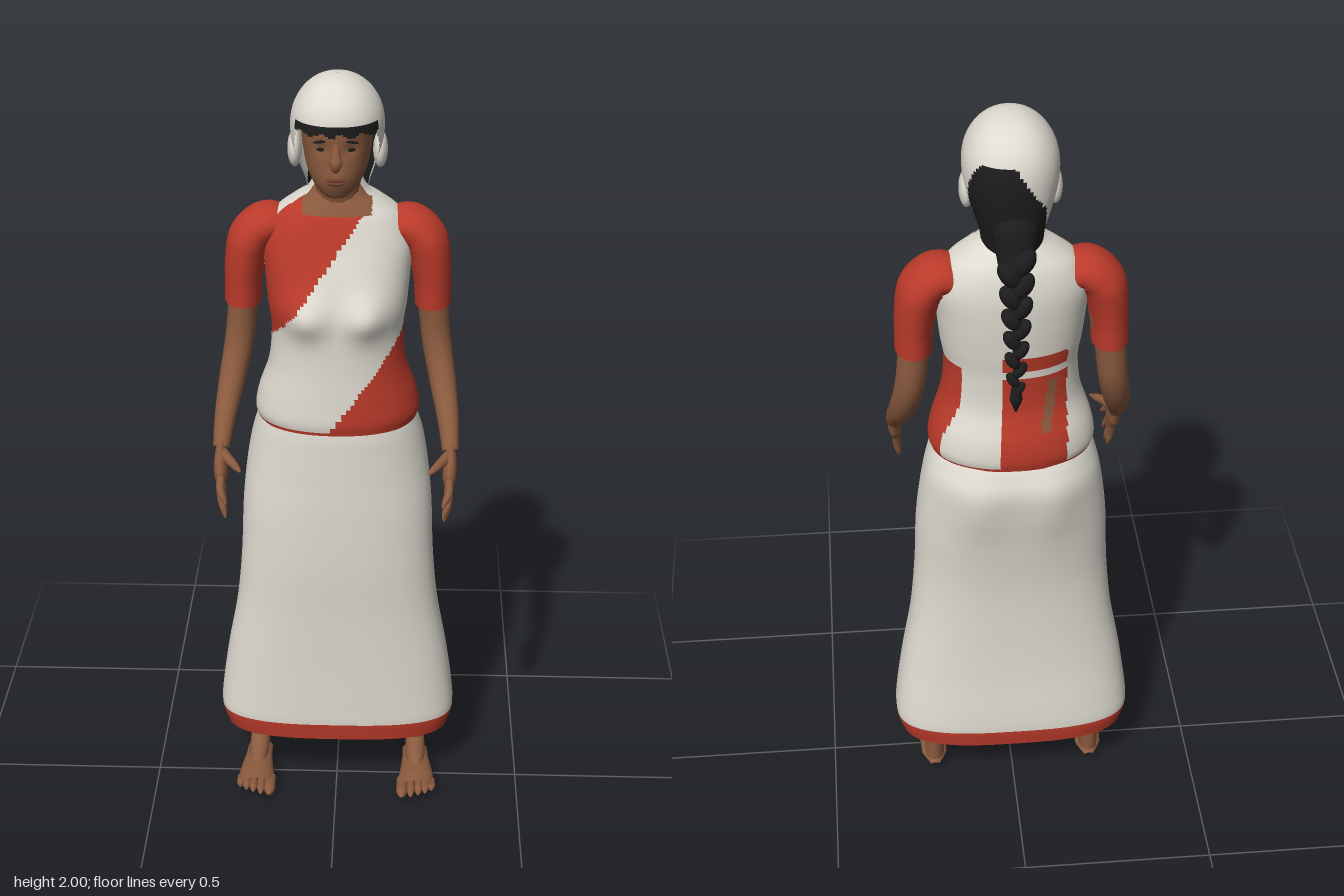
import * as THREE from 'three';
import { mergeVertices } from 'three/addons/utils/BufferGeometryUtils.js';

const mat = (name, color, side = THREE.FrontSide) => {
  const m = new THREE.MeshStandardMaterial({ color, side });
  m.name = name;
  return m;
};

export function createModel() {
  const model = new THREE.Group();
  const cloth = mat('cloth white', 0xdedad0, THREE.DoubleSide);
  const red = mat('cloth red', 0xba3a2a, THREE.DoubleSide);
  const hair = mat('hair black', 0x1c1c1c, THREE.DoubleSide);
  const skin = mat('skin brown', 0x8a5a3e);
  const lip = mat('lip brown', 0x6e4030);
  const bump = (d, w) => Math.exp(-(d * d) / (w * w));

  const add = (name, geo, material, parent = model) => {
    const mesh = new THREE.Mesh(geo, material);
    mesh.name = name;
    parent.add(mesh);
    return mesh;
  };

  // Surface through horizontal sections [y, halfWidth, zFront, zBack, squareness], lowest first.
  // paint(x, y, z) picks the material of each small face, or null to leave it open.
  function loft(name, sections, cols, rows, paint, warp) {
    const a = new THREE.CatmullRomCurve3(sections.map(s => new THREE.Vector3(s[0], s[1], s[2])), false, 'catmullrom');
    const b = new THREE.CatmullRomCurve3(sections.map(s => new THREE.Vector3(s[0], s[3], s[4] ?? 2.2)), false, 'catmullrom');
    const pos = [];
    const p = new THREE.Vector3();
    const pow = (v, n) => Math.sign(v) * Math.abs(v) ** (2 / n);
    for (let j = 0; j <= rows; j++) {
      const A = a.getPoint(j / rows), B = b.getPoint(j / rows);
      for (let i = 0; i < cols; i++) {
        const t = i / cols * Math.PI * 2;
        p.set(A.y * pow(Math.sin(t), B.z), A.x, (A.z + B.y) / 2 + (A.z - B.y) / 2 * pow(Math.cos(t), B.z));
        if (warp) warp(p);
        pos.push(p.x, p.y, p.z);
      }
    }
    const faces = new Map();
    for (let j = 0; j < rows; j++) for (let i = 0; i < cols; i++) {
      const k = (i + 1) % cols, q = [j * cols + i, j * cols + k, (j + 1) * cols + k, (j + 1) * cols + i];
      const mid = [0, 1, 2].map(c => q.reduce((sum, v) => sum + pos[v * 3 + c], 0) / 4);
      const m = paint(...mid);
      if (!m) continue;
      if (!faces.has(m)) faces.set(m, []);
      faces.get(m).push(q[0], q[1], q[2], q[0], q[2], q[3]);
    }
    const geo = new THREE.BufferGeometry();
    geo.setAttribute('position', new THREE.Float32BufferAttribute(pos, 3));
    const index = [], mats = [];
    for (const [m, list] of faces) {
      geo.addGroup(index.length, list.length, mats.length);
      for (const v of list) index.push(v);
      mats.push(m);
    }
    geo.setIndex(index);
    geo.computeVertexNormals();
    return add(name, geo, mats);
  }

  // Tube along points with changing radius; squash flattens it along the axes.
  function limb(name, pts, radii, material, parent, squash = [1, 1, 1], n = 20, m = 14) {
    const curve = new THREE.CatmullRomCurve3(pts.map(q => new THREE.Vector3(...q)));
    const geo = new THREE.TubeGeometry(curve, n, 1, m);
    const pos = geo.attributes.position, sq = new THREE.Vector3(...squash), v = new THREE.Vector3();
    for (let i = 0; i <= n; i++) {
      const c = curve.getPointAt(i / n), f = i / n * (radii.length - 1);
      const k = Math.min(Math.floor(f), radii.length - 2);
      const r = THREE.MathUtils.lerp(radii[k], radii[k + 1], f - k);
      for (let j = 0; j <= m; j++) {
        const id = i * (m + 1) + j;
        v.fromBufferAttribute(pos, id).sub(c).multiply(sq).multiplyScalar(r).add(c);
        pos.setXYZ(id, v.x, v.y, v.z);
      }
    }
    geo.deleteAttribute('uv');
    geo.deleteAttribute('normal');
    const smooth = mergeVertices(geo, 1e-5);
    smooth.computeVertexNormals();
    return add(name, smooth, material, parent);
  }

  function ball(name, x, y, z, sx, sy, sz, material, rot = 0) {
    const b = add(name, new THREE.SphereGeometry(1, 20, 14), material);
    b.position.set(x, y, z);
    b.scale.set(sx, sy, sz);
    b.rotation.z = rot;
    return b;
  }

  // Long skirt with a red hem, open below
  loft('skirt', [
    [0.16, 0.305, 0.078, -0.195, 2.9], [0.21, 0.319, 0.084, -0.2, 2.9], [0.27, 0.316, 0.085, -0.197, 2.8],
    [0.4, 0.297, 0.086, -0.185, 2.7], [0.55, 0.27, 0.09, -0.18, 2.6], [0.7, 0.255, 0.097, -0.183, 2.5],
    [0.85, 0.248, 0.098, -0.2, 2.4], [0.95, 0.238, 0.096, -0.215, 2.3], [1.03, 0.225, 0.094, -0.222, 2.3],
    [1.08, 0.212, 0.092, -0.207, 2.3], [1.13, 0.195, 0.085, -0.18, 2.3],
  ], 72, 100, (x, y) => (y < 0.21 ? red : cloth), p => {
    if (p.z < -0.06) p.z -= 0.012 * bump(Math.abs(p.x) - 0.1, 0.06) * bump(p.y - 1.0, 0.12);
  });

  // Blouse with the white drape crossing it from the right hip to the left shoulder
  const paintTorso = (x, y, z) => {
    if (y > 1.655 && z > -0.04 && Math.abs(x) < 0.085) return skin;
    if (y < 1.108) return red;
    if (z > -0.04) {
      if (x < 0.07 && y > 1.61 + (x - 0.03) * 1.41) return red;
      return y < Math.min(1.12 + (x + 0.01) * 1.35, 1.37) ? red : cloth;
    }
    if (x > 0.1 && z > -0.135) return y < 1.37 ? red : cloth;
    if (x > 0.035 || x < -0.13 || y > 1.42) return cloth;
    if (y > 1.36 && y < 1.38) return cloth;
    if (y > 1.2 && y < 1.34 && Math.abs(x + 0.085 + (y - 1.27) * 0.15) < 0.012) return skin;
    return red;
  };
  loft('draped blouse', [
    [1.1, 0.203, 0.097, -0.203], [1.13, 0.21, 0.102, -0.208], [1.18, 0.2, 0.1, -0.202], [1.26, 0.174, 0.096, -0.178],
    [1.35, 0.166, 0.095, -0.178], [1.42, 0.175, 0.092, -0.186], [1.5, 0.182, 0.074, -0.193], [1.58, 0.185, 0.046, -0.194],
    [1.64, 0.158, 0.026, -0.183], [1.675, 0.115, 0.01, -0.165], [1.7, 0.078, -0.003, -0.145], [1.73, 0.06, -0.015, -0.125],
  ], 120, 110, paintTorso, p => {
    if (p.z > 0) p.z += 0.032 * bump(Math.abs(p.x) - 0.08, 0.055) * bump(p.y - 1.415, 0.055);
  });

  // Neck and face
  limb('neck', [[0, 1.6, -0.075], [0, 1.68, -0.055], [0, 1.77, -0.035]], [0.065, 0.056, 0.058], skin);
  loft('head', [
    [1.715, 0.015, 0.05, 0.01], [1.722, 0.034, 0.063, -0.03], [1.745, 0.056, 0.073, -0.07], [1.78, 0.073, 0.078, -0.11],
    [1.82, 0.082, 0.08, -0.14], [1.86, 0.087, 0.081, -0.15], [1.91, 0.088, 0.078, -0.15], [1.95, 0.065, 0.05, -0.12],
  ], 48, 40, () => skin, p => {
    if (p.z < 0.02) return;
    p.z -= 0.008 * bump(Math.abs(p.x) - 0.034, 0.018) * bump(p.y - 1.843, 0.016);
    p.z += 0.008 * bump(p.x, 0.03) * bump(p.y - 1.768, 0.025);
  });
  limb('nose', [[0, 1.86, 0.074], [0, 1.825, 0.084], [0, 1.802, 0.087], [0, 1.795, 0.078]], [0.007, 0.01, 0.016, 0.006], skin);
  ball('upper lip', 0, 1.772, 0.083, 0.024, 0.005, 0.007, lip);
  ball('lower lip', 0, 1.763, 0.082, 0.02, 0.006, 0.007, lip);
  for (const s of [-1, 1]) {
    ball('eye', s * 0.034, 1.843, 0.066, 0.013, 0.005, 0.004, hair);
    ball('eyebrow', s * 0.036, 1.864, 0.073, 0.019, 0.0035, 0.005, hair, -s * 0.12);
    ball('ear cover', s * 0.104, 1.81, -0.045, 0.018, 0.046, 0.036, cloth);
  }

  // Head cloth, open at the face, with a dark fringe and the hair left bare at the back
  const paintHood = (x, y, z) => {
    if (z > 0.03 && y > 1.882 + 0.005 * Math.sin(x * 130) && y < 1.904) return hair;
    if (y < 1.9 && z > 0.035 + (y - 1.87) * 0.63) return null;
    const bare = y < 1.92 + Math.min(0, x) * 1.6 && x > -0.075 && z < -0.085 - Math.max(0, y - 1.8) * 0.45;
    return bare ? hair : cloth;
  };
  loft('head cloth', [
    [1.67, 0.074, 0, -0.155], [1.72, 0.077, 0.02, -0.165], [1.77, 0.092, 0.05, -0.174], [1.83, 0.11, 0.084, -0.178],
    [1.88, 0.114, 0.094, -0.177], [1.92, 0.107, 0.09, -0.168], [1.955, 0.088, 0.07, -0.147], [1.98, 0.062, 0.04, -0.115],
    [1.995, 0.032, 0.005, -0.077], [2.0, 0.001, -0.034, -0.037],
  ], 96, 80, paintHood);

  // Gathered hair and tapering braid of crossing locks
  limb('gathered hair', [[0.01, 1.84, -0.13], [0, 1.76, -0.155], [0, 1.67, -0.18]], [0.02, 0.055, 0.04], hair, model, [1, 1, 0.7]);
  const locks = 13;
  for (let i = 0; i < locks; i++) {
    const f = i / (locks - 1), s = i % 2 ? 1 : -1, w = 1 - 0.55 * f;
    ball('braid lock', s * 0.016 * w, 1.69 - f * 0.35, -0.193 - 0.012 * Math.sin(f * Math.PI),
      0.026 * w, 0.034 * w + 0.006, 0.026 * w, hair, -s * 0.6);
  }
  limb('braid tip', [[0, 1.35, -0.192], [0, 1.32, -0.192], [0, 1.27, -0.188]], [0.01, 0.016, 0.002], hair);

  // Arms, hands, legs and feet, mirrored
  for (const s of [1, -1]) {
    const side = new THREE.Group();
    side.name = s > 0 ? 'leftLimbs' : 'rightLimbs';
    model.add(side);
    const part = (name, pts, radii, material, squash, n, m) =>
      limb(name, pts.map(([x, y, z]) => [s * x, y, z]), radii, material, side, squash, n, m);

    part('sleeve', [[0.13, 1.6, -0.085], [0.175, 1.607, -0.082], [0.215, 1.575, -0.08], [0.235, 1.49, -0.077], [0.24, 1.4, -0.077]],
      [0.042, 0.052, 0.055, 0.051, 0.047, 0.046], red, [1, 1, 1.45], 28, 28);
    part('arm', [[0.215, 1.55, -0.08], [0.238, 1.41, -0.085], [0.252, 1.29, -0.078], [0.269, 1.2, -0.035], [0.284, 1.12, 0.042], [0.29, 1.065, 0.1]],
      [0.04, 0.041, 0.038, 0.037, 0.034, 0.028, 0.021], skin, [1, 1, 1.15], 28, 18);
    part('palm', [[0.29, 1.085, 0.085], [0.29, 1.045, 0.118], [0.286, 0.995, 0.155], [0.284, 0.98, 0.166]],
      [0.019, 0.028, 0.036, 0.034, 0.008], skin, [0.5, 1, 1]);
    [[1.02, 0.178, 0.97, 0.226], [1.003, 0.168, 0.93, 0.21], [0.99, 0.153, 0.908, 0.183], [0.985, 0.136, 0.912, 0.155]]
      .forEach(([y0, z0, y1, z1], i) => part('finger', [[0.286, y0, z0], [0.285, (y0 + y1) / 2 + 0.003, (z0 + z1) / 2 + 0.003],
        [0.27 + i * 0.003, y1, z1]], [0.01, 0.0105, 0.01, 0.009, 0.003], skin, [1, 1, 1], 10, 10));
    part('thumb', [[0.287, 1.06, 0.115], [0.262, 1.055, 0.155], [0.234, 1.045, 0.195]], [0.015, 0.014, 0.012, 0.01, 0.003], skin, [1, 1, 1], 10, 10);

    part('leg', [[0.13, 0.95, -0.06], [0.17, 0.55, -0.065], [0.21, 0.25, -0.07], [0.217, 0.1, -0.072], [0.218, 0.025, -0.072]],
      [0.085, 0.068, 0.05, 0.037, 0.029, 0.026], skin, [1, 1, 1.35], 28, 18);
    part('foot', [[0.218, 0.022, -0.115], [0.218, 0.025, -0.09], [0.22, 0.03, -0.03], [0.222, 0.026, 0.04], [0.222, 0.02, 0.098]],
      [0.012, 0.035, 0.036, 0.042, 0.048, 0.044], skin, [1, 0.55, 1], 24, 18);
    part('instep', [[0.218, 0.085, -0.075], [0.219, 0.055, -0.025], [0.221, 0.03, 0.04]], [0.026, 0.027, 0.018], skin);
    [0.183, 0.207, 0.228, 0.247, 0.264].forEach((x, i) => {
      const r = i ? 0.0105 : 0.015, tip = 0.143 - i * 0.009 - (i > 3 ? 0.004 : 0);
      part('toe', [[x, 0.02, 0.065], [x, 0.018, 0.1], [x, r, tip]], [r, r, r * 1.05, r, r * 0.2], skin, [1, 0.95, 1], 10, 10);
    });
  }
  return model;
}
